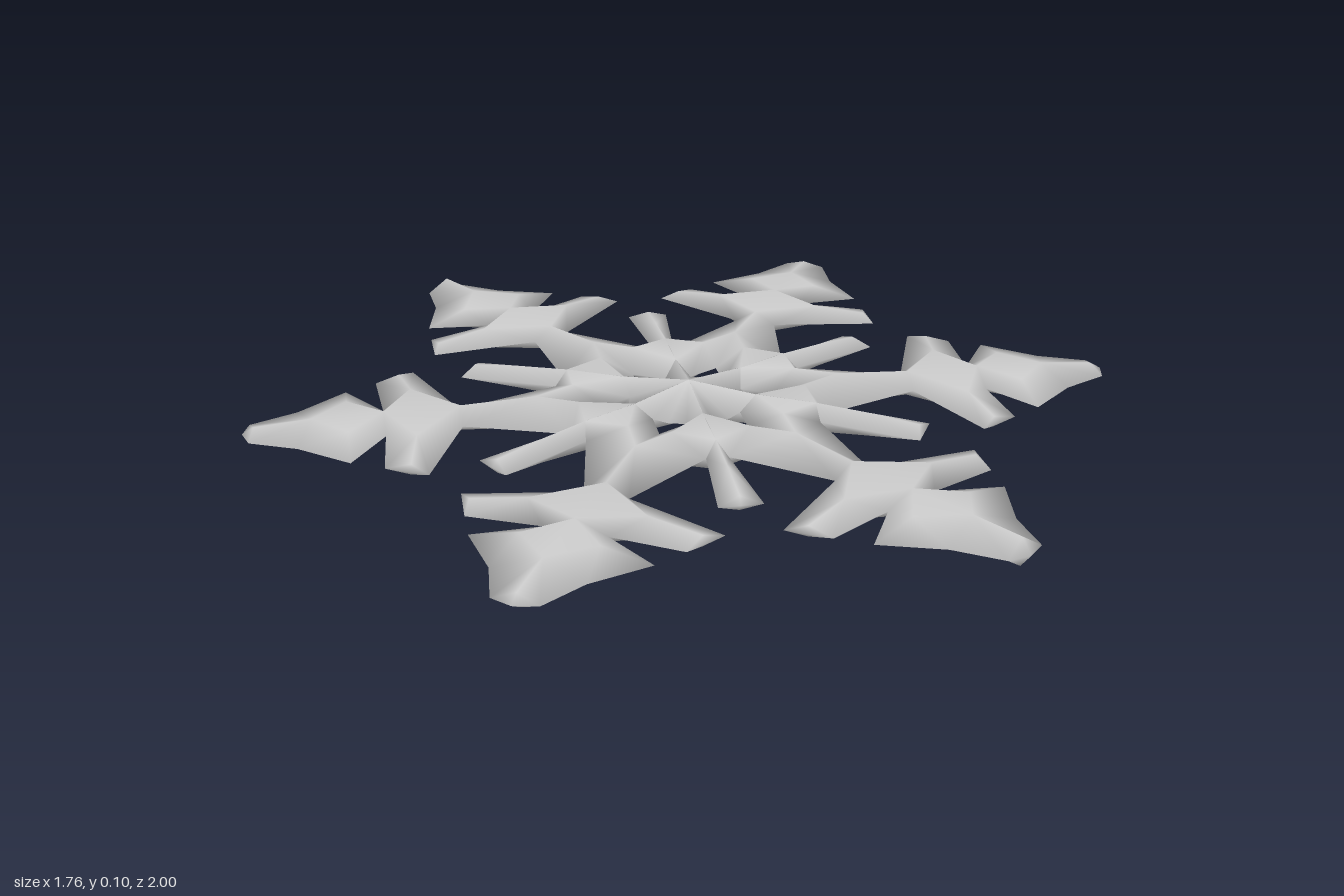
import * as THREE from 'three';
import { mergeVertices } from 'three/addons/utils/BufferGeometryUtils.js';

const MID = 0.05; // height of the sharp rim

// Points are [along, sideways, half thickness]; each triangle names three points.
// Every half is mirrored sideways and then top to bottom into a closed lens-like relief.
function relief(points, triangles) {
  const pos = [];
  for (const side of [1, -1]) for (const face of [1, -1]) {
    for (const tri of triangles) {
      const c = tri.split(' ').map(k => points[k]);
      const turn = (c[1][0] - c[0][0]) * (c[2][1] - c[0][1]) - (c[1][1] - c[0][1]) * (c[2][0] - c[0][0]);
      // z = -sideways, so a counterclockwise turn faces up
      if (turn * side * face < 0) c.reverse();
      for (const [u, v, h] of c) pos.push(u, MID + face * h, -side * v);
    }
  }
  const g = new THREE.BufferGeometry();
  g.setAttribute('position', new THREE.Float32BufferAttribute(pos, 3));
  const merged = mergeVertices(g, 1e-4);
  merged.computeVertexNormals();
  return merged;
}

// Main arm: pointed leaf, a pair of side branches, stem, and web around the inner hole
function armGeometry(tipThickness) {
  return relief({
    tip: [0.975, 0, tipThickness], tipRim: [1.0, 0, 0], tipCorner: [0.985, 0.05, 0],
    leafEdge: [0.88, 0.1, 0], leafPoint: [0.77, 0.195, 0], leafMid: [0.77, 0.085, 0.024],
    notch: [0.69, 0.07, 0],
    branchOut: [0.7, 0.235, 0], branchIn: [0.61, 0.285, 0],
    branchEnd: [0.645, 0.25, 0.012], branchMid: [0.625, 0.13, 0.024],
    neck: [0.52, 0.05, 0],
    r1: [0.85, 0, Math.max(0.025, tipThickness)], r2: [0.69, 0, 0.03], r3: [0.52, 0, 0.03], r4: [0.35, 0, 0.038],
    crook: [0.289, 0.138, 0], seam: [0.26, 0.15, 0.035], web: [0.26, 0.05, 0.038],
    spoke: [0.139, 0.08, 0.036], holeTip: [0.2, 0, 0], holeSide: [0.13, 0.04, 0]
  }, [
    'tip tipRim tipCorner', 'tip r1 tipCorner', 'r1 tipCorner leafEdge', 'r1 leafEdge leafMid',
    'leafMid leafEdge leafPoint', 'leafMid leafPoint notch', 'r1 leafMid r2', 'r2 leafMid notch',
    'r2 notch branchMid', 'notch branchOut branchMid', 'branchOut branchEnd branchMid',
    'branchOut branchIn branchEnd', 'branchEnd branchIn branchMid', 'branchMid branchIn neck',
    'branchMid neck r3', 'r2 branchMid r3',
    'r3 neck r4', 'neck crook r4', 'r4 crook web', 'crook seam web', 'r4 web holeTip',
    'web seam spoke', 'web spoke holeSide', 'web holeSide holeTip'
  ]);
}

// Short stub between two arms
function stubGeometry() {
  return relief({
    root: [0.3, 0, 0.035], crook: [0.319, 0.025, 0], ridge: [0.42, 0, 0.028],
    corner: [0.55, 0.048, 0], end: [0.537, 0, 0.016], rim: [0.55, 0, 0]
  }, ['root crook ridge', 'crook corner ridge', 'ridge corner end', 'end corner rim']);
}

// One sixth of the centre, bounded by two spokes and the inner hole
function hubGeometry() {
  return relief({
    centre: [0, 0, 0.05], holeBase: [0.14, 0, 0], holeSide: [0.13, 0.04, 0], spoke: [0.139, 0.08, 0.036]
  }, ['centre holeBase holeSide', 'centre holeSide spoke']);
}

export function createModel() {
  const group = new THREE.Group();
  group.name = 'snowflake';
  const material = new THREE.MeshStandardMaterial({ color: 0xcccccc, side: THREE.DoubleSide });
  const thickArm = armGeometry(0.032), thinArm = armGeometry(0.015);
  const stub = stubGeometry(), hub = hubGeometry();

  const add = (name, geometry, angle) => {
    const mesh = new THREE.Mesh(geometry, material);
    mesh.name = name;
    mesh.rotation.y = angle;
    group.add(mesh);
  };
  for (let i = 0; i < 6; i++) {
    const a = i * Math.PI / 3;
    // the front and back arms keep their thickness out to the tip
    add('arm' + (i + 1), i % 3 === 1 ? thickArm : thinArm, a + Math.PI / 6);
    add('stub' + (i + 1), stub, a);
    add('hubSegment' + (i + 1), hub, a + Math.PI / 6);
  }
  return group;
}
